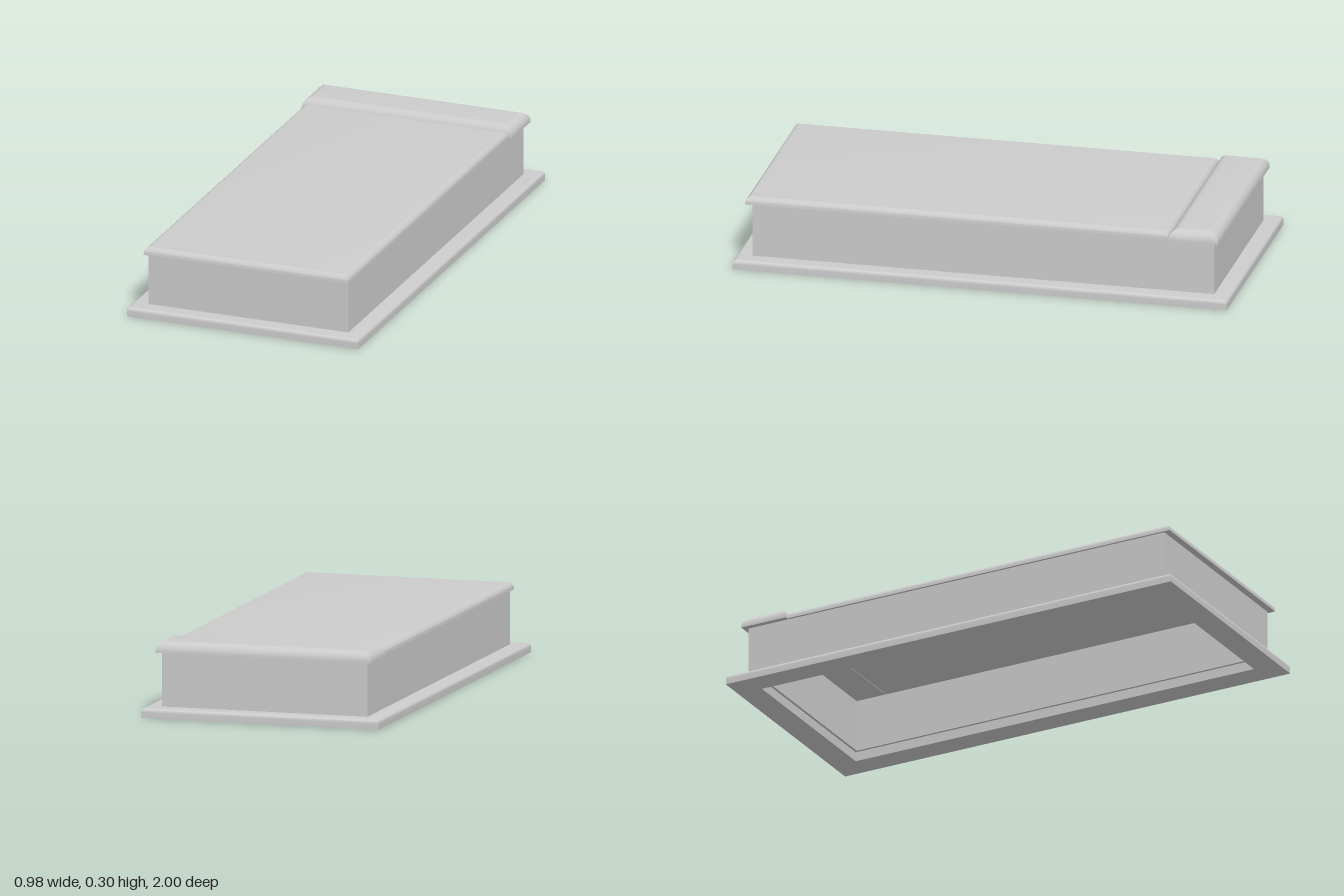
import * as THREE from 'three';
import { toCreasedNormals } from 'three/addons/utils/BufferGeometryUtils.js';

const CORNERS = [[1, 1], [1, -1], [-1, -1], [-1, 1]];

// Sweeps a profile of [halfWidth, halfDepth, y] rings around a rectangle with mitred corners.
function mitred(rings) {
  const pos = [];
  const point = ([hx, hz, y], k) => [CORNERS[k % 4][0] * hx, y, CORNERS[k % 4][1] * hz];
  for (let i = 0; i < rings.length - 1; i++) {
    const lo = rings[i], hi = rings[i + 1];
    for (let k = 0; k < 4; k++) {
      const a = point(lo, k), b = point(lo, k + 1), c = point(hi, k + 1), d = point(hi, k);
      if (lo[0] > 0) pos.push(...a, ...b, ...c);
      if (hi[0] > 0) pos.push(...a, ...c, ...d);
    }
  }
  const geo = new THREE.BufferGeometry();
  geo.setAttribute('position', new THREE.Float32BufferAttribute(pos, 3));
  return toCreasedNormals(geo, 0.4);
}

// Outer side from y0 to y1, its top edge rounded with radius r.
function roundedSide(hx, hz, y0, y1, r, steps = 8) {
  const rings = [[hx, hz, y0]];
  for (let i = 0; i <= steps; i++) {
    const t = (i / steps) * Math.PI / 2;
    const inset = r * (1 - Math.cos(t));
    rings.push([hx - inset, hz - inset, y1 - r + r * Math.sin(t)]);
  }
  return rings;
}

// Closed slab with a rounded upper edge.
const slab = (hx, hz, y0, y1, r) =>
  mitred([[0, 0, y0], ...roundedSide(hx, hz, y0, y1, r), [0, 0, y1]]);

// Frame: an outer profile closed by a straight rectangular opening.
function frame(outer, ix, iz) {
  const y0 = outer[0][2], y1 = outer[outer.length - 1][2];
  return mitred([...outer, [ix, iz, y1], [ix, iz, y0], outer[0]]);
}

export function createModel() {
  const model = new THREE.Group();
  const material = new THREE.MeshStandardMaterial({ color: 0xcccccc });
  const add = (name, geometry, z = 0) => {
    const mesh = new THREE.Mesh(geometry, material);
    mesh.name = name;
    mesh.position.z = z;
    model.add(mesh);
  };

  // Plinth frame around the foot
  add('baseFrame', frame(roundedSide(0.49, 1, 0, 0.039, 0.015), 0.385, 0.895));

  // Hollow body, open underneath
  add('bodyWalls', frame([[0.424, 0.935, 0.039], [0.424, 0.935, 0.255]], 0.375, 0.885));

  // Long lid panel and the thicker raised panel behind it
  add('lidPanel', slab(0.433, 0.858, 0.255, 0.286, 0.025), 0.105);
  add('headPanel', slab(0.446, 0.1, 0.255, 0.302, 0.042), -0.855);

  return model;
}
